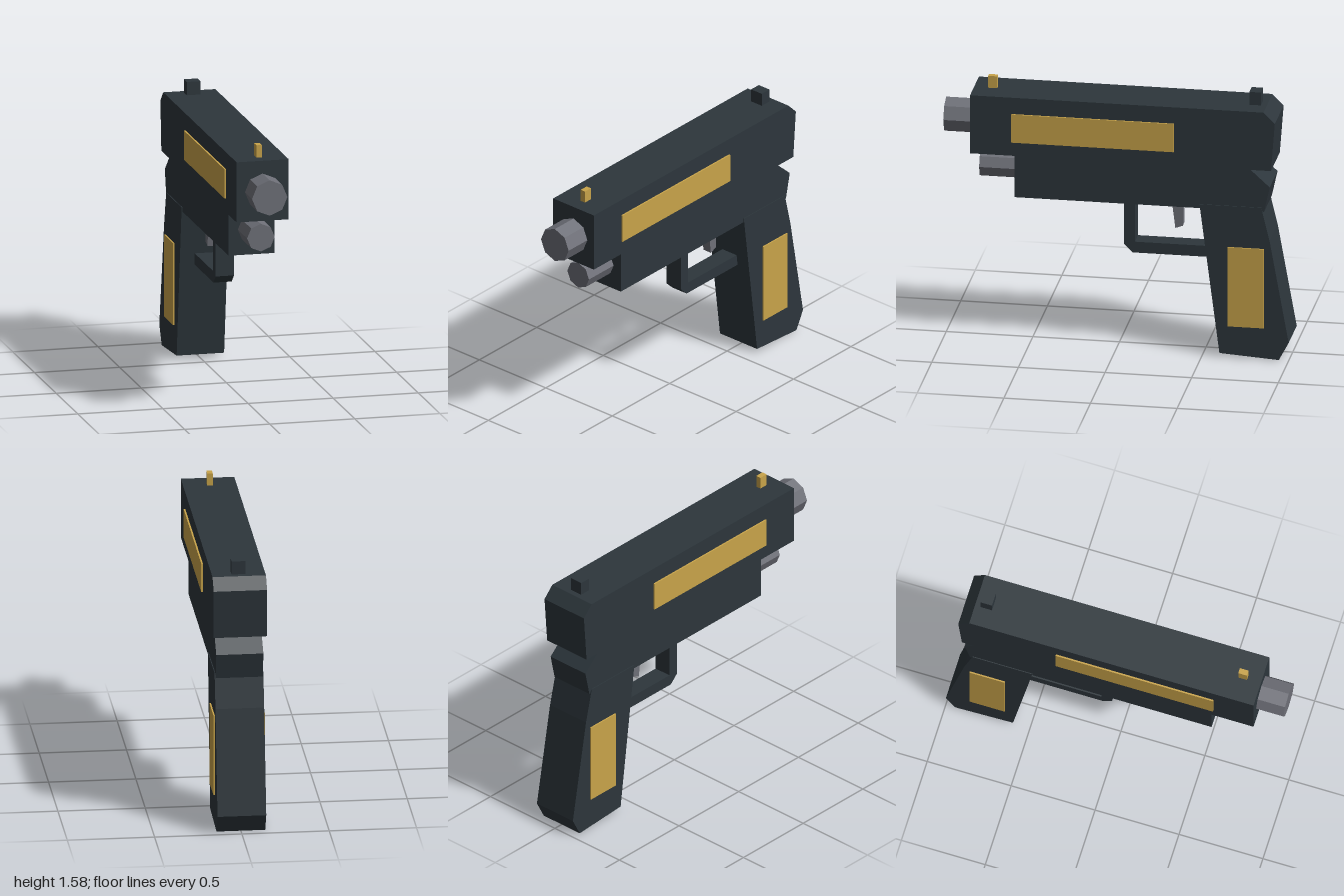
import * as THREE from 'three';

export function createModel() {
  const model = new THREE.Group();
  model.name = 'pistol';

  const material = (name, color) => {
    const m = new THREE.MeshStandardMaterial({ color });
    m.name = name;
    return m;
  };
  const gunmetal = material('gunmetal', 0x2d363c);
  const steel = material('steel', 0x6e7078);
  const gold = material('gold', 0xc9a44a);

  const add = (name, geometry, mat) => {
    const mesh = new THREE.Mesh(geometry, mat);
    mesh.name = name;
    model.add(mesh);
    return mesh;
  };

  // Side profile given as [z, y] points, extruded across x and centred
  const slab = (name, points, width, mat) => {
    const shape = new THREE.Shape(points.map(([z, y]) => new THREE.Vector2(z, y)));
    const geometry = new THREE.ExtrudeGeometry(shape, { depth: width, bevelEnabled: false });
    geometry.translate(0, 0, -width / 2).rotateY(-Math.PI / 2);
    return add(name, geometry, mat);
  };

  // Box given by its limits along each axis
  const block = (name, [x0, x1], [y0, y1], [z0, z1], mat) => {
    const geometry = new THREE.BoxGeometry(x1 - x0, y1 - y0, z1 - z0);
    geometry.translate((x0 + x1) / 2, (y0 + y1) / 2, (z0 + z1) / 2);
    return add(name, geometry, mat);
  };

  // Eight-sided bar along z with faceted sides
  const bar = (name, radius, y, z0, z1) => {
    const geometry = new THREE.CylinderGeometry(radius, radius, z1 - z0, 8).toNonIndexed();
    geometry.computeVertexNormals();
    geometry.rotateX(Math.PI / 2).translate(0, y, (z0 + z1) / 2);
    return add(name, geometry, steel);
  };

  // Main body
  slab('slide', [[0.837, 1.153], [0.837, 1.506], [-0.857, 1.506], [-0.922, 1.44], [-0.9, 1.153]], 0.306, gunmetal);
  slab('frame', [[0.582, 0.895], [0.582, 1.153], [-0.772, 1.153], [-0.89, 1.046], [-0.857, 0.895]], 0.27, gunmetal);
  slab('grip', [[-0.485, 0.92], [-0.6, 0.022], [-0.943, 0], [-1, 0.108], [-0.89, 0.72], [-0.842, 0.92]], 0.279, gunmetal);

  // Trigger and its guard
  slab('triggerGuard', [
    [-0.036, 0.91], [-0.036, 0.618], [-0.086, 0.57], [-0.56, 0.57],
    [-0.56, 0.636], [-0.098, 0.636], [-0.098, 0.91],
  ], 0.107, gunmetal);
  slab('trigger', [[-0.304, 0.91], [-0.327, 0.724], [-0.37, 0.74], [-0.37, 0.91]], 0.055, steel);

  // Barrel and guide rod
  bar('barrel', 0.104, 1.327, 0.8, 1);
  bar('guideRod', 0.081, 1.045, 0.55, 0.797);

  // Sights
  block('frontSight', [-0.016, 0.016], [1.5, 1.578], [0.704, 0.756], gold);
  block('rearSight', [-0.04, 0.04], [1.5, 1.584], [-0.823, -0.756], gunmetal);

  // Gold inlays on both sides
  for (const [side, s] of [['left', 1], ['right', -1]]) {
    const across = (a, b) => (s > 0 ? [a, b] : [-b, -a]);
    block(side + 'SlideInlay', across(0.153, 0.1625), [1.236, 1.407], [-0.34, 0.598], gold);
    block(side + 'GripInlay', across(0.139, 0.148), [0.19, 0.671], [-0.857, -0.647], gold);
  }

  return model;
}
